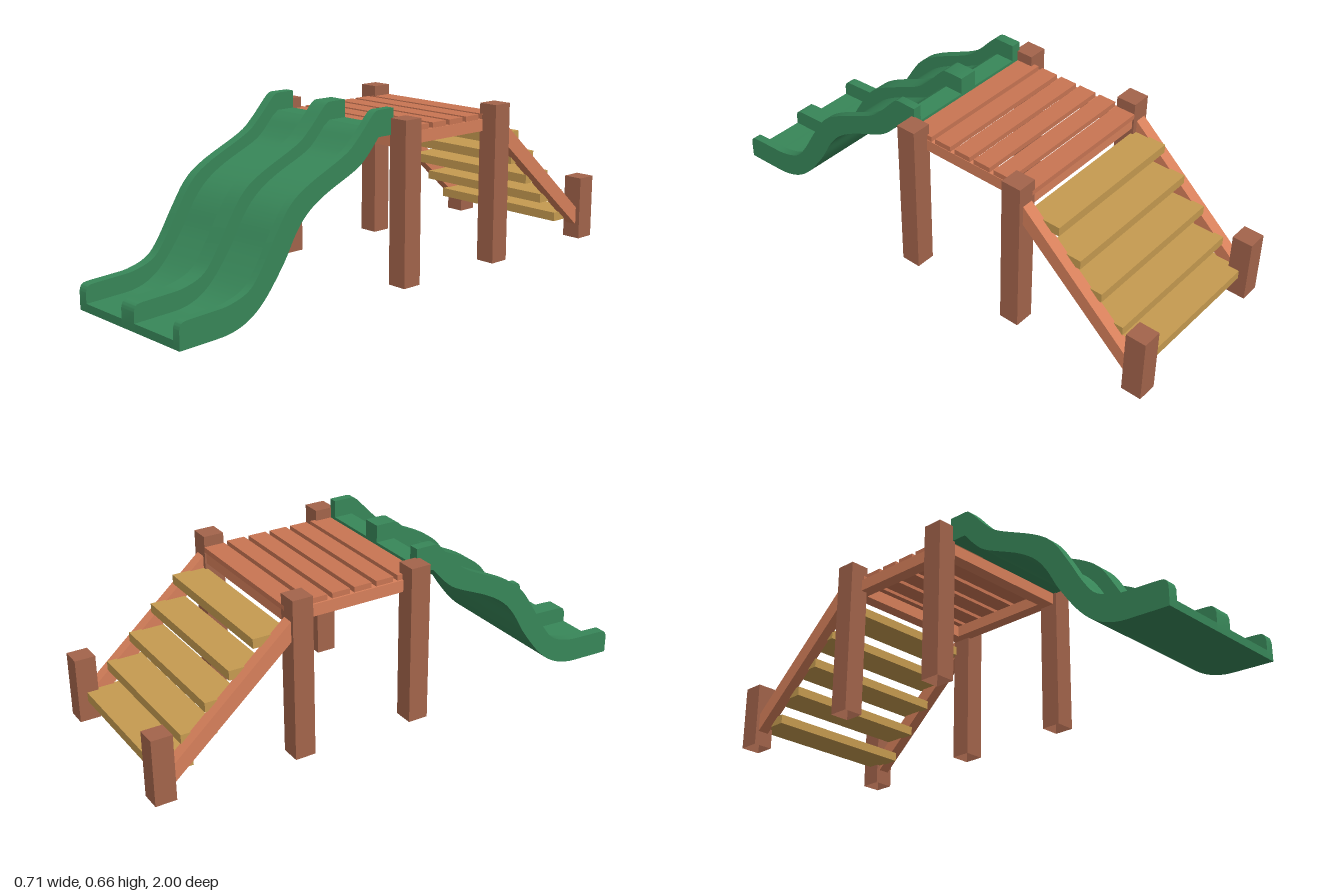
import * as THREE from 'three';
import { toCreasedNormals } from 'three/addons/utils/BufferGeometryUtils.js';

export function createModel() {
  const model = new THREE.Group();
  model.name = 'playgroundSlide';

  const mat = (name, color) => {
    const m = new THREE.MeshStandardMaterial({ color });
    m.name = name;
    return m;
  };
  const postWood = mat('brown post wood', 0xa3644b);
  postWood.side = THREE.DoubleSide;
  const deckWood = mat('red deck wood', 0xc97553);
  const railWood = mat('orange rail wood', 0xd7805b);
  const treadWood = mat('yellow tread wood', 0xc69b50);
  const plastic = mat('green plastic', 0x388759);

  const add = (name, geometry, material) => {
    const mesh = new THREE.Mesh(geometry, material);
    mesh.name = name;
    model.add(mesh);
    return mesh;
  };
  // Box given by its limits on each axis
  const box = (name, material, [x0, x1], [y0, y1], [z0, z1]) => {
    const g = new THREE.BoxGeometry(x1 - x0, y1 - y0, z1 - z0);
    g.translate((x0 + x1) / 2, (y0 + y1) / 2, (z0 + z1) / 2);
    return add(name, g, material);
  };
  // Side profile of [z, y] points, extruded from x0 to x1
  const sideExtrude = (name, material, points, x0, x1) => {
    const shape = new THREE.Shape(points.map(([z, y]) => new THREE.Vector2(z, y)));
    const g = new THREE.ExtrudeGeometry(shape, { depth: x1 - x0, bevelEnabled: false });
    g.rotateY(-Math.PI / 2).translate(x1, 0, 0);
    return add(name, toCreasedNormals(g, 0.5), material);
  };
  const smooth = (points, n) => new THREE.SplineCurve(
    points.map(([z, y]) => new THREE.Vector2(z, y))).getPoints(n).map((p) => [p.x, p.y]);

  // Posts, open underneath
  for (const [z0, z1, top] of [[0, 0.078, 0.63], [-0.472, -0.394, 0.63], [-1, -0.922, 0.273]]) {
    for (const [x0, x1] of [[-0.358, -0.281], [0.279, 0.356]]) {
      const post = box('post', postWood, [x0, x1], [0.025, top], [z0, z1]);
      const faces = Array.from(post.geometry.index.array);
      faces.splice(18, 6);
      post.geometry.setIndex(faces);
      post.geometry.clearGroups();
    }
  }

  // Deck frame
  box('deckSideRail', railWood, [-0.307, -0.258], [0.525, 0.57], [-0.43, 0.04]);
  box('deckSideRail', railWood, [0.243, 0.292], [0.525, 0.57], [-0.43, 0.04]);
  box('deckCrossBeam', railWood, [-0.29, 0.285], [0.525, 0.57], [0.015, 0.064]);
  box('deckCrossBeam', railWood, [-0.29, 0.285], [0.525, 0.57], [-0.465, -0.415]);

  // Deck planks
  for (const [z0, z1] of [[-0.02, 0.065], [-0.108, -0.038], [-0.197, -0.127],
    [-0.285, -0.215], [-0.374, -0.304], [-0.472, -0.392]]) {
    box('deckPlank', deckWood, [-0.3, 0.29], [0.57, 0.59], [z0, z1]);
  }

  // Stair stringers
  const stringer = [[-0.43, 0.588], [-0.43, 0.512], [-0.95, 0.057], [-0.95, 0.126]];
  sideExtrude('stairStringer', railWood, stringer, -0.345, -0.3);
  sideExtrude('stairStringer', railWood, stringer, 0.293, 0.338);

  // Stair treads
  for (let i = 0; i < 5; i++) {
    const z = -0.832 + i * 0.0925, y = 0.102 + i * 0.0915;
    box('stairTread', treadWood, [-0.306, 0.3], [y, y + 0.035], [z - 0.133, z]);
  }

  // Slide: underside curve and wall top curve, from the lower end upwards
  const under = [...smooth([[1, 0.002], [0.9, 0.006], [0.8, 0.013], [0.72, 0.042], [0.65, 0.1],
    [0.57, 0.205], [0.517, 0.295], [0.463, 0.357], [0.383, 0.408], [0.25, 0.468],
    [0.195, 0.507], [0.137, 0.57]], 48), [0.066, 0.57]];
  const wallTop = [...smooth([[1, 0.07], [0.992, 0.09], [0.97, 0.098], [0.88, 0.103],
    [0.8, 0.11], [0.72, 0.14], [0.667, 0.203], [0.61, 0.297], [0.545, 0.391], [0.463, 0.45],
    [0.3, 0.527], [0.238, 0.575], [0.165, 0.652], [0.14, 0.665]], 56), [0.066, 0.665]];
  const wall = [...under, ...wallTop.reverse()];
  sideExtrude('slideOuterWall', plastic, wall, -0.291, -0.251);
  sideExtrude('slideMiddleWall', plastic, wall, -0.038, 0.035);
  sideExtrude('slideOuterWall', plastic, wall, 0.25, 0.283);

  // Channel floors: the underside offset by the floor thickness
  const last = under.length - 1;
  const floorTop = under.map(([z, y], i) => {
    if (i === 0 || i === last) return [z, y + 0.03];
    const a = under[i - 1], b = under[i + 1];
    const dz = b[0] - a[0], dy = b[1] - a[1], l = Math.hypot(dz, dy);
    return [z + 0.03 * dy / l, y - 0.03 * dz / l];
  });
  const floor = [...under, ...floorTop.reverse()];
  sideExtrude('slideChannelFloor', plastic, floor, -0.251, -0.038);
  sideExtrude('slideChannelFloor', plastic, floor, 0.035, 0.25);

  return model;
}
